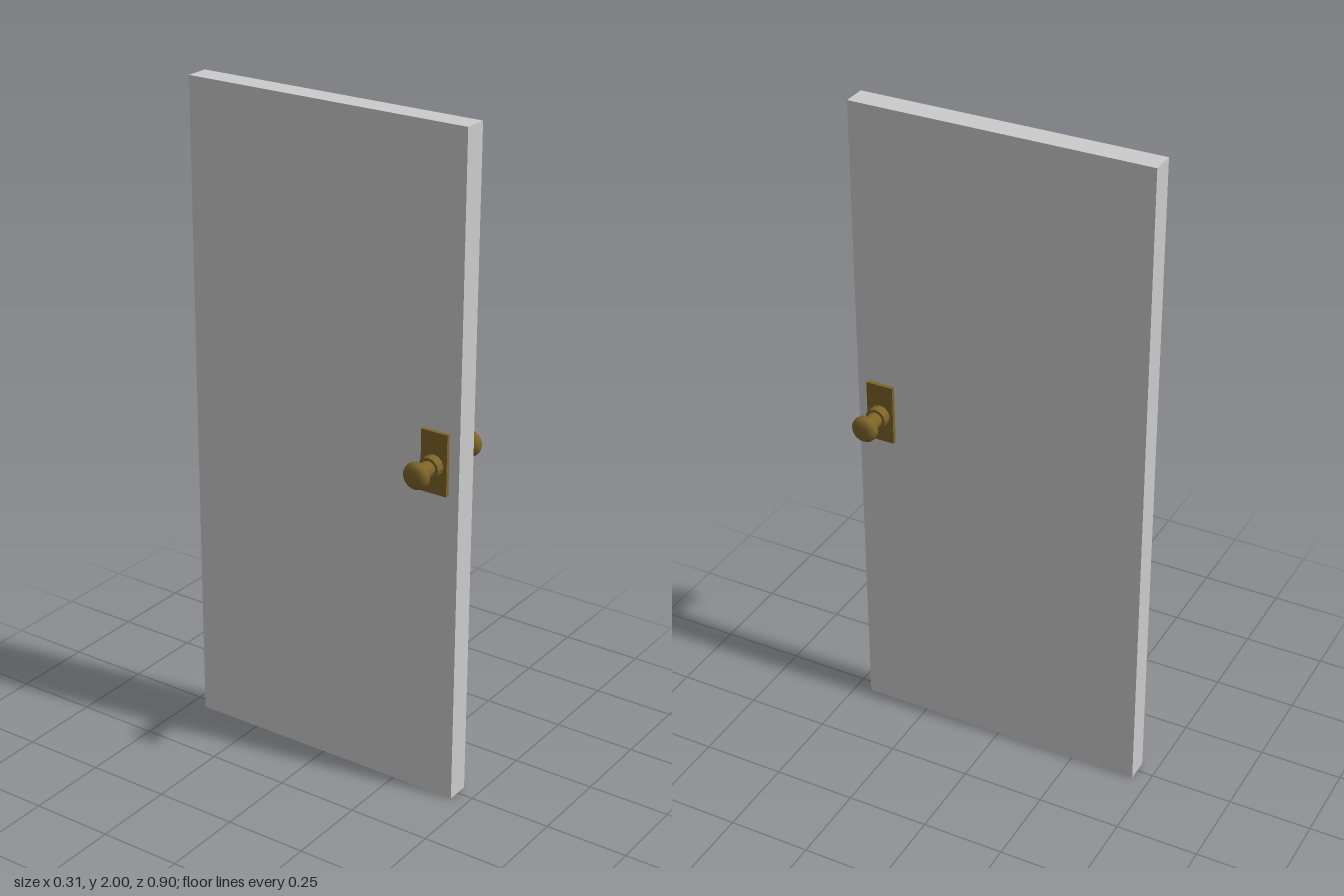
import * as THREE from 'three';

const HANDLE_Y = 1.045, HANDLE_Z = 0.375, FACE = 0.036;

export function createModel() {
  const model = new THREE.Group();
  const grey = new THREE.MeshStandardMaterial({ color: 0xcccccc });
  const brass = new THREE.MeshStandardMaterial({ color: 0x7c6428 });
  const brassFlat = new THREE.MeshStandardMaterial({ color: 0x7c6428, flatShading: true });

  const add = (parent, name, geometry, material, x, y, z) => {
    const mesh = new THREE.Mesh(geometry, material);
    mesh.name = name;
    mesh.position.set(x, y, z);
    parent.add(mesh);
  };

  // Plain slab
  add(model, 'doorPanel', new THREE.BoxGeometry(FACE * 2, 2, 0.9), grey, 0, 1, 0);

  // Parts are laid out along +x, outward from the door face
  const rod = (radius, length) =>
    new THREE.CylinderGeometry(radius, radius, length, 12).rotateZ(-Math.PI / 2);

  // Flattened knob with a full, rounded rim
  const profile = [new THREE.Vector2(0, -0.0205)];
  const rim = [[0.024, -0.0205], [0.032, -0.017], [0.038, -0.009], [0.04, 0],
    [0.038, 0.009], [0.033, 0.015], [0.025, 0.019], [0.013, 0.0205]];
  rim.forEach(([r, h]) => profile.push(new THREE.Vector2(r, h)));
  profile.push(new THREE.Vector2(0, 0.021));
  const knobGeometry = new THREE.LatheGeometry(profile, 24).rotateZ(-Math.PI / 2);

  // One handle set on each face
  for (const side of [1, -1]) {
    const handle = new THREE.Group();
    handle.name = side > 0 ? 'leftHandle' : 'rightHandle';
    handle.position.set(side * FACE, HANDLE_Y, HANDLE_Z);
    if (side < 0) handle.rotation.y = Math.PI;
    add(handle, 'backPlate', new THREE.BoxGeometry(0.012, 0.184, 0.084), brass, 0.006, 0.006, 0);
    add(handle, 'collar', rod(0.032, 0.028), brassFlat, 0.026, 0, 0);
    add(handle, 'shaft', rod(0.0235, 0.04), brassFlat, 0.058, 0, 0);
    add(handle, 'knob', knobGeometry, brass, 0.0965, 0, 0);
    model.add(handle);
  }
  return model;
}
